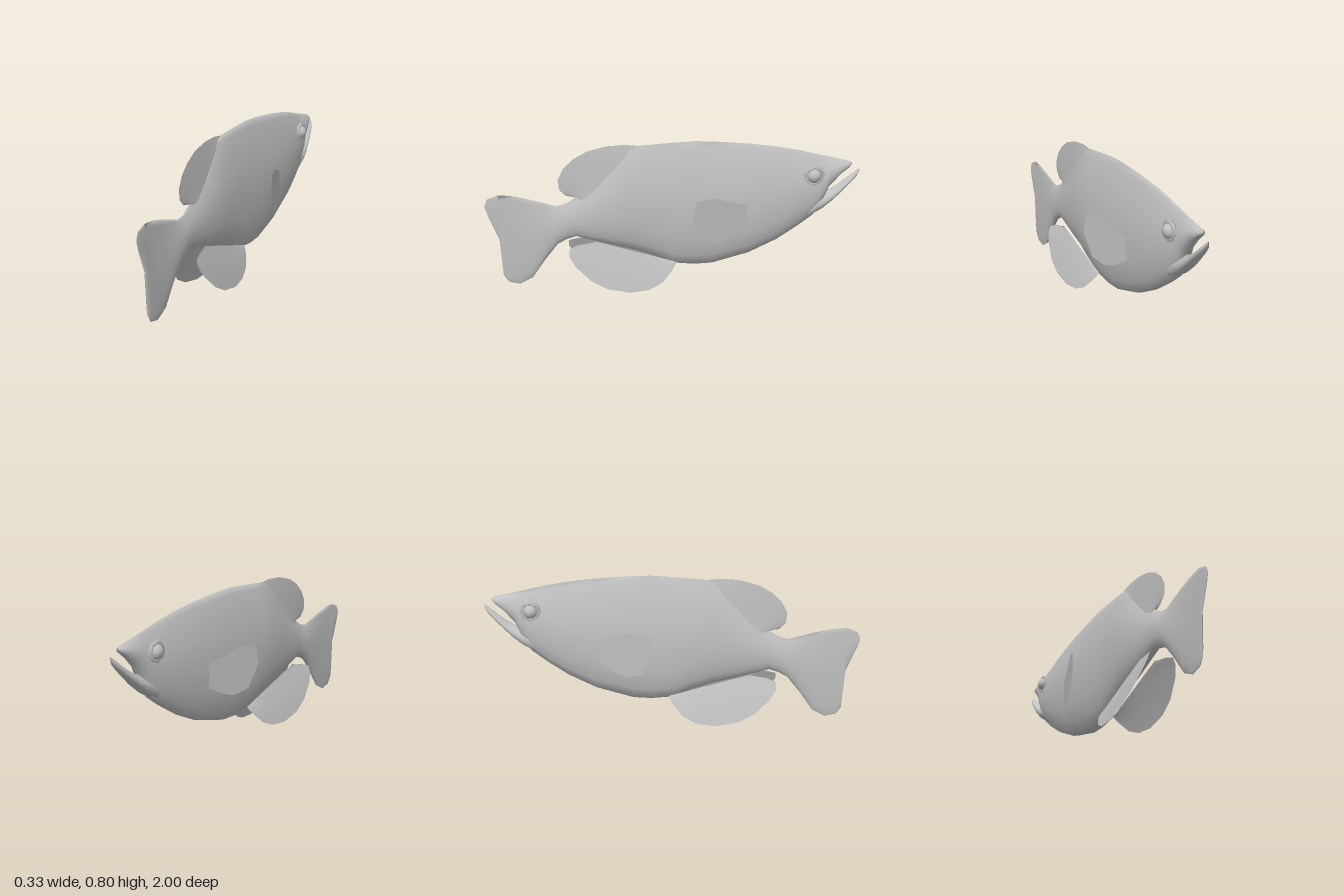
import * as THREE from 'three';

const skin = new THREE.MeshStandardMaterial({ color: 0xc0c0c0, side: THREE.DoubleSide });
skin.name = 'paleGrey';

// Grid of points (rows x cols) turned into a smooth mesh
function gridMesh(name, rows, closed) {
  const n = rows[0].length, index = [];
  for (let s = 0; s < rows.length - 1; s++) {
    for (let i = 0; i < (closed ? n : n - 1); i++) {
      const a = s * n + i, b = s * n + (i + 1) % n;
      index.push(a, b, a + n, b, b + n, a + n);
    }
  }
  const geo = new THREE.BufferGeometry();
  geo.setAttribute('position', new THREE.Float32BufferAttribute(rows.flat(2), 3));
  geo.setIndex(index);
  geo.computeVertexNormals();
  const mesh = new THREE.Mesh(geo, skin);
  mesh.name = name;
  return mesh;
}

// Half cross-section: [height fraction, width fraction]
const SECTION = [[0, 0], [0.01, 0.36], [0.1, 0.74], [0.24, 0.94], [0.4, 1], [0.55, 0.95],
  [0.7, 0.77], [0.85, 0.46], [0.95, 0.18], [1, 0]];

// Loft through stations [z, top, bottom, half width]
function loft(name, stations) {
  const loop = [...SECTION, ...SECTION.slice(1, -1).reverse().map(([f, w]) => [f, -w])];
  return gridMesh(name, stations.map(([z, top, bottom, half]) =>
    loop.map(([f, w]) => [w * half, bottom + f * (top - bottom), z])), true);
}

// Fin sheet from a straight root to an outline of [z, y] points; xAt bends it sideways
function fin(name, root0, root1, outline, xAt) {
  const rows = [0, 0.35, 0.7, 1].map(t => outline.map(([z, y], i) => {
    const k = i / (outline.length - 1);
    const rz = root0[0] + (root1[0] - root0[0]) * k;
    const ry = root0[1] + (root1[1] - root0[1]) * k;
    const pz = rz + (z - rz) * t, py = ry + (y - ry) * t;
    return [xAt(pz, py, t), py, pz];
  }));
  return gridMesh(name, rows, false);
}

export function createModel() {
  const fish = new THREE.Group();
  fish.name = 'fish';

  // Head, trunk and tail fin in one skin, nose towards -z
  fish.add(loft('bodyAndTail', [
    [-0.955, 0.66, 0.648, 0.004], [-0.94, 0.667, 0.632, 0.02], [-0.89, 0.68, 0.592, 0.034],
    [-0.83, 0.695, 0.525, 0.044], [-0.8, 0.702, 0.45, 0.049], [-0.75, 0.715, 0.37, 0.054],
    [-0.66, 0.738, 0.305, 0.064], [-0.55, 0.76, 0.235, 0.072], [-0.4, 0.782, 0.165, 0.077],
    [-0.2, 0.801, 0.113, 0.078], [-0.1, 0.806, 0.11, 0.077], [0.02, 0.801, 0.125, 0.075],
    [0.12, 0.795, 0.175, 0.073], [0.23, 0.788, 0.215, 0.069], [0.34, 0.69, 0.245, 0.058],
    [0.45, 0.575, 0.278, 0.044], [0.53, 0.515, 0.302, 0.034], [0.58, 0.485, 0.287, 0.031],
    [0.63, 0.475, 0.26, 0.03], [0.7, 0.497, 0.17, 0.023], [0.77, 0.518, 0.07, 0.017],
    [0.84, 0.537, 0.035, 0.012], [0.9, 0.545, 0.05, 0.009], [0.925, 0.546, 0.09, 0.008],
    [0.935, 0.546, 0.3, 0.007], [0.985, 0.525, 0.43, 0.004], [1, 0.495, 0.48, 0.001],
  ]));

  // Lower jaw, slightly longer than the snout
  fish.add(loft('lowerJaw', [
    [-1, 0.626, 0.612, 0.003], [-0.985, 0.616, 0.582, 0.015], [-0.95, 0.588, 0.545, 0.025],
    [-0.9, 0.548, 0.497, 0.035], [-0.85, 0.515, 0.45, 0.043], [-0.8, 0.5, 0.407, 0.047],
    [-0.72, 0.48, 0.36, 0.046],
  ]));

  for (const side of [1, -1]) {
    const label = side > 0 ? 'right' : 'left'; // facing -z

    // Back fin: two sheets meeting at the outer edge
    fish.add(fin(label + 'DorsalFinFace', [0.14, 0.72], [0.48, 0.5],
      [[0.16, 0.785], [0.26, 0.798], [0.36, 0.793], [0.46, 0.768], [0.53, 0.73], [0.585, 0.68],
        [0.615, 0.62], [0.61, 0.565], [0.575, 0.53], [0.52, 0.525]],
      (z, y, t) => side * (0.001 + 0.02 * (1 - t))));

    // Splayed belly fin
    fish.add(fin(label + 'BellyFin', [0, 0.14], [0.45, 0.285],
      [[0, 0.13], [0.025, 0.095], [0.075, 0.042], [0.15, 0.01], [0.25, 0.003], [0.37, 0.03],
        [0.46, 0.08], [0.54, 0.16], [0.57, 0.212], [0.57, 0.25], [0.52, 0.268], [0.43, 0.272]],
      (z, y) => {
        const drop = Math.max(0, 0.14 + 0.28 * z - y);
        return side * (0.038 + 0.077 * Math.pow(drop / 0.205, 0.75));
      }));

    // Side fin, swinging outwards to the rear
    fish.add(fin(label + 'PectoralFin', [-0.38, 0.47], [-0.42, 0.35],
      [[-0.35, 0.478], [-0.3, 0.49], [-0.2, 0.53], [-0.095, 0.526], [-0.078, 0.42],
        [-0.14, 0.3], [-0.23, 0.278], [-0.3, 0.3], [-0.4, 0.355]],
      z => side * (0.078 + (z + 0.37) * 0.3)));

    // Eye with a raised rim
    const eye = new THREE.Group();
    eye.name = label + 'Eye';
    const ball = new THREE.Mesh(new THREE.SphereGeometry(0.04, 10, 8), skin);
    ball.name = 'eyeball';
    const rim = new THREE.Mesh(new THREE.TorusGeometry(0.046, 0.013, 5, 8), skin);
    rim.name = 'eyeRim';
    rim.rotation.set(0, Math.PI / 2, 0);
    rim.position.x = side * 0.004;
    eye.add(ball, rim);
    eye.position.set(side * 0.041, 0.605, -0.74);
    fish.add(eye);
  }
  return fish;
}
